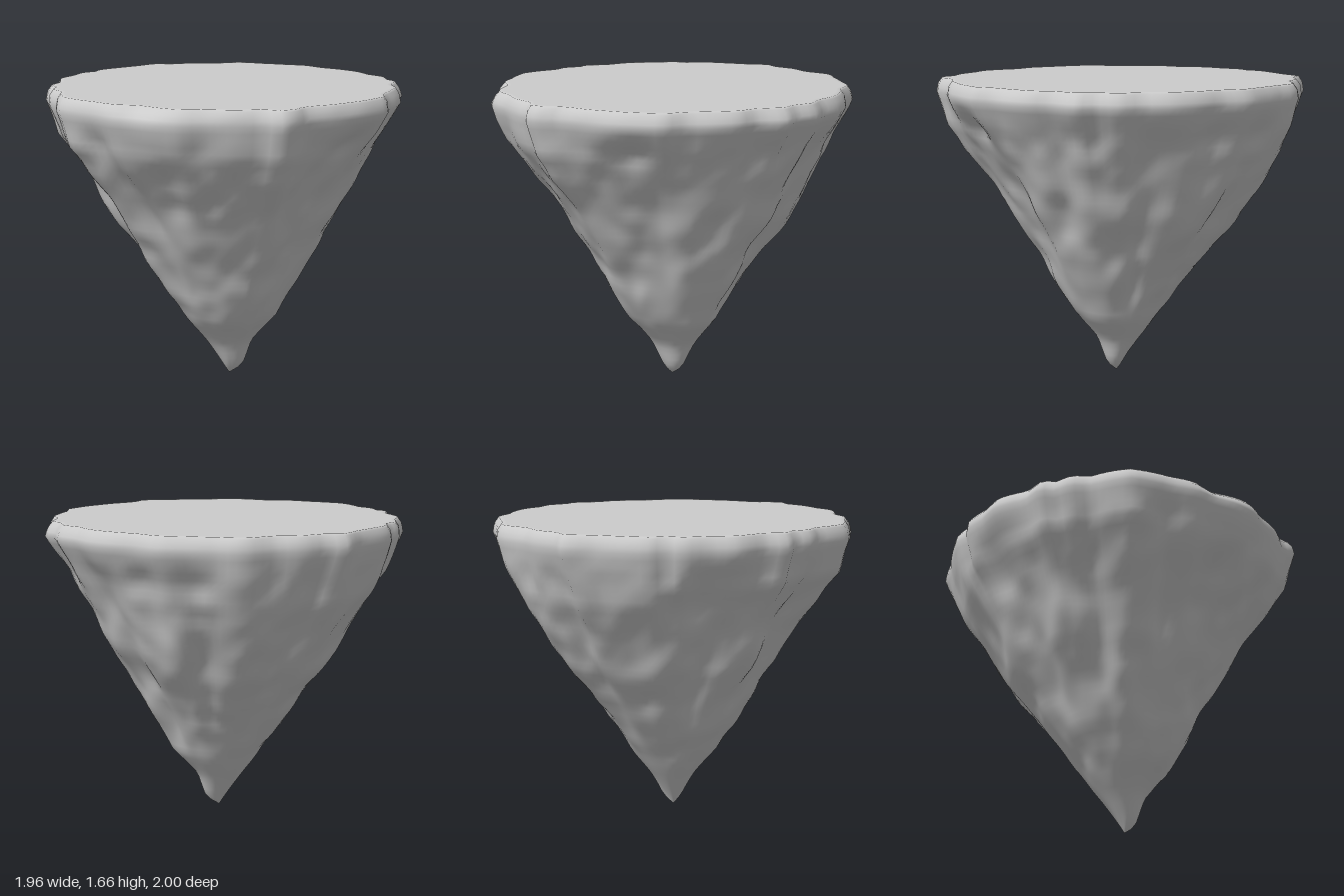
import * as THREE from 'three';

// Rim outline seen from above, as x, z pairs
const RIM = [
  .985, -.06, .92, .1, .93, .2, .88, .35, .82, .45, .8, .56, .7, .67, .59, .76, .42, .85, .34, .9,
  .3, .96, .22, 1, .14, .96, 0, .97, -.15, .95, -.28, .95, -.4, .9, -.5, .82, -.6, .77, -.7, .66,
  -.87, .5, -.89, .42, -.9, .27, -.95, .19, -.94, .08, -.985, .02, -.93, -.1, -.94, -.28, -.87, -.4,
  -.82, -.53, -.75, -.58, -.74, -.65, -.63, -.75, -.5, -.84, -.4, -.95, -.3, -.93, -.17, -.97,
  -.03, -.96, .12, -1, .2, -.98, .26, -.94, .4, -.88, .54, -.82, .62, -.7, .74, -.6, .82, -.5,
  .87, -.36, .94, -.26, .94, -.13,
];

// Side profiles (share of the rim radius) towards +z, +x, -z and -x
const HEIGHTS = [0, .05, .2, .35, .5, .7, .9, 1.1, 1.3, 1.4, 1.5, 1.58, 1.63, 1.66];
const PROFILES = [
  [0, .05, .13, .27, .36, .47, .60, .71, .86, .93, .975, 1, .995, .975],
  [0, .08, .15, .30, .37, .48, .60, .72, .84, .89, .95, 1, .99, .97],
  [0, .03, .12, .22, .34, .52, .66, .79, .91, .94, .975, 1, .995, .975],
  [0, .03, .12, .23, .35, .47, .62, .73, .87, .95, .975, 1, .995, .975],
];

// Carved hollows and raised ribs: angle from +z, height, angular width, half height, depth, lean
const CARVES = [
  [.8, 1.05, .24, .5, .055, 0], [.3, 1.0, .1, .5, -.015, 0],
  [.76, 1.47, .12, .1, .03, 0], [1.35, .98, .13, .12, .035, 0],
  [2.05, .95, .15, .5, .045, 0], [2.5, 1.3, .12, .22, .05, 0],
  [2.75, 1.05, .12, .45, .05, 0], [3.1, 1.1, .12, .4, -.015, 0],
  [-.42, 1.2, .12, .16, .03, 0], [-.75, 1.15, .1, .4, .05, -.25],
  [-1.3, 1.1, .12, .45, .04, -.1], [-1.9, 1.1, .14, .5, .05, .05],
  [-2.05, 1.35, .1, .15, .03, 0], [-2.88, 1.05, .12, .45, .045, .1],
];

const TAU = Math.PI * 2;
const { lerp, smoothstep } = THREE.MathUtils;

function sample(xs, ys, x) {
  let i = 1;
  while (i < xs.length - 1 && xs[i] < x) i++;
  return lerp(ys[i - 1], ys[i], THREE.MathUtils.clamp((x - xs[i - 1]) / (xs[i] - xs[i - 1]), 0, 1));
}

// Smooth value noise in -1..1
function hash(x, y, z) {
  let h = Math.imul(x, 374761393) ^ Math.imul(y, 668265263) ^ Math.imul(z, 2147426859);
  h = Math.imul(h ^ (h >>> 13), 1274126177);
  return ((h ^ (h >>> 16)) >>> 0) / 2147483648 - 1;
}
function noise(x, y, z) {
  const [i, j, k] = [x, y, z].map(Math.floor);
  const [u, v, w] = [x - i, y - j, z - k].map((t) => t * t * (3 - 2 * t));
  const row = (b, c) => lerp(hash(i, b, c), hash(i + 1, b, c), u);
  return lerp(lerp(row(j, k), row(j + 1, k), v), lerp(row(j, k + 1), row(j + 1, k + 1), v), w);
}

const rim = [];
for (let i = 0; i < RIM.length; i += 2) {
  const a = Math.atan2(RIM[i], RIM[i + 1]);
  const r = Math.hypot(RIM[i], RIM[i + 1]);
  for (const turn of [-TAU, 0, TAU]) rim.push([a + turn, r]);
}
rim.sort((p, q) => p[0] - q[0]);
const rimAngles = rim.map((p) => p[0]);
const rimRadii = rim.map((p) => p[1]);

// Shortest signed angle
const wrap = (d) => d - TAU * Math.round(d / TAU);

function surfacePoint(a, y) {
  // Blend the two nearest side profiles
  const q = (a / TAU) * 4;
  const side = Math.floor(q);
  const share = lerp(sample(HEIGHTS, PROFILES[side], y),
    sample(HEIGHTS, PROFILES[(side + 1) % 4], y), smoothstep(q - side, 0, 1));
  let r = share * lerp(.97, sample(rimAngles, rimRadii, a), smoothstep(y, .9, 1.5));

  // Carving and rough rock, fading at the rim and the tip
  const fade = smoothstep(y, .05, .5) * (1 - smoothstep(y, 1.4, 1.58));
  for (const [ca, cy, width, tall, depth, lean] of CARVES) {
    const da = wrap(a - ca - lean * (y - cy)) / width;
    const dy = (y - cy) / tall;
    r -= depth * Math.exp(-da * da - dy * dy * dy * dy) * fade;
  }
  const nx = Math.sin(a) * r, nz = Math.cos(a) * r;
  r += fade * (.022 * noise(nx * 5 + 9, y * 3, nz * 5) + .014 * noise(nx * 10, y * 7 + 4, nz * 10));

  // Uneven wear of the top edge, with one larger chip
  const chip = Math.exp(-((wrap(a + .48) / .18) ** 2));
  r -= smoothstep(y, 1.58, 1.66) * (.008 * (1 + noise(nx * 6, 3, nz * 6)) + .035 * chip);
  const tip = .02 * (1 - smoothstep(y, 0, .3));
  return [Math.sin(a) * r + tip, y, Math.cos(a) * r + tip];
}

function createModel() {
  const group = new THREE.Group();
  group.name = 'floatingRock';
  const material = new THREE.MeshStandardMaterial({ color: 0xcccccc, roughness: 1 });
  const segments = 144, rows = 44;
  const levels = Array.from({ length: rows + 1 }, (_, j) => 1.58 * j / rows).concat(1.605, 1.63, 1.65, 1.66);

  // Rings from the tip to the rim
  const positions = [];
  for (const y of levels) {
    for (let i = 0; i < segments; i++) positions.push(...surfacePoint((i / segments) * TAU, y));
  }

  // Rings of the flat top, shrinking to the middle
  const edge = positions.slice(-segments * 3);
  const topScales = [.975, .9, 0];
  for (const s of topScales) {
    edge.forEach((v, i) => positions.push(i % 3 === 1 ? v : v * s));
  }

  // Skin the rings, wrapping around
  const index = [];
  const bands = levels.length + topScales.length - 1;
  for (let j = 0; j < bands; j++) {
    for (let i = 0; i < segments; i++) {
      const a = j * segments + i, b = j * segments + (i + 1) % segments;
      if (j > 0) index.push(a, b, b + segments);
      if (j === 0 || j < bands - 1) index.push(a, b + segments, a + segments);
    }
  }
  const rock = new THREE.BufferGeometry();
  rock.setAttribute('position', new THREE.Float32BufferAttribute(positions, 3));
  rock.setIndex(index);
  rock.computeVertexNormals();
  const mesh = new THREE.Mesh(rock, material);
  mesh.name = 'flatToppedRock';
  group.add(mesh);
  return group;
}

export { createModel };
